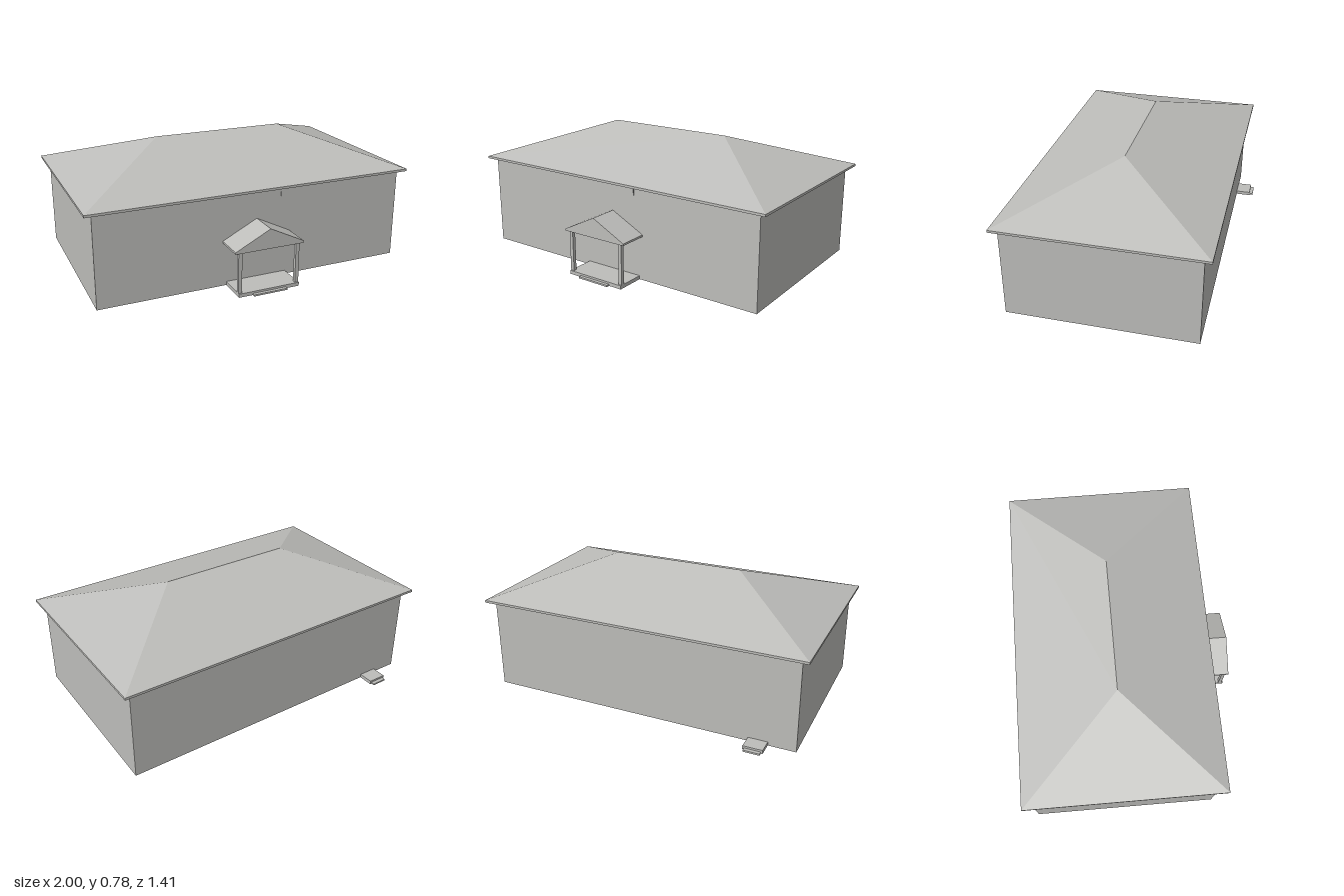
import * as THREE from 'three';

const plaster = new THREE.MeshStandardMaterial({ color: 0xbdbdba, side: THREE.DoubleSide });
plaster.name = 'plain grey';

// Flat-shaded surface from convex polygons, corners counter-clockwise from outside
function polygons(faces) {
  const pos = [];
  for (const f of faces) {
    for (let i = 1; i < f.length - 1; i++) pos.push(...f[0], ...f[i], ...f[i + 1]);
  }
  const g = new THREE.BufferGeometry();
  g.setAttribute('position', new THREE.Float32BufferAttribute(pos, 3));
  g.computeVertexNormals();
  return g;
}

function shapeFrom(points, hole) {
  const s = new THREE.Shape(points.map(p => new THREE.Vector2(...p)));
  if (hole) s.holes.push(new THREE.Path(hole.map(p => new THREE.Vector2(...p))));
  return s;
}

const rect = (x, a, b) => [[-x, a], [x, a], [x, b], [-x, b]];

export function createModel() {
  const house = new THREE.Group();
  house.name = 'house';
  const add = (name, geometry, parent = house) => {
    const m = new THREE.Mesh(geometry, plaster);
    m.name = name;
    parent.add(m);
    return m;
  };
  const block = (name, x0, x1, y0, y1, z0, z1, parent) =>
    add(name, new THREE.BoxGeometry(x1 - x0, y1 - y0, z1 - z0), parent)
      .position.set((x0 + x1) / 2, (y0 + y1) / 2, (z0 + z1) / 2);

  // Main dimensions
  const W = 0.955, F = 0.51, B = -0.593, H = 0.553;
  const EF = 0.547, EB = -0.637, E = 0.567;
  const R = 0.405, RY = 0.777, RZ = -0.044;
  const PW = 0.213, PY = 0.266, PE = 0.278, PA = 0.385, PF = 0.685;

  // Hollow walls, open below; the front opens into the porch gable
  const gable = [[-PW, PY], [PW, PY], [PW, PE], [0, PA], [-PW, PE]];
  add('frontWall', new THREE.ShapeGeometry(shapeFrom(rect(W, 0, H), gable))).position.z = F;
  add('sideAndBackWalls', polygons([
    [[W, 0, F], [W, 0, B], [W, H, B], [W, H, F]],
    [[W, 0, B], [-W, 0, B], [-W, H, B], [W, H, B]],
    [[-W, 0, B], [-W, 0, F], [-W, H, F], [-W, H, B]],
  ]));

  // Hipped roof with fascia and a soffit ring
  const c = [[-1, EF], [1, EF], [1, EB], [-1, EB]];
  const eave = c.map(([x, z]) => [x, E, z]);
  const low = c.map(([x, z]) => [x, H, z]);
  const left = [R, RY, RZ], right = [-R, RY, RZ];
  add('hippedRoof', polygons([
    [eave[0], eave[1], left, right],
    [eave[1], eave[2], left],
    [eave[2], eave[3], right, left],
    [eave[3], eave[0], right],
  ]));
  add('fascia', polygons(c.map((_, i) => {
    const j = (i + 1) % 4;
    return [low[i], low[j], eave[j], eave[i]];
  })));
  const soffit = new THREE.ShapeGeometry(shapeFrom(rect(1, EB, EF), rect(W, B, F)));
  soffit.rotateX(Math.PI / 2);
  add('soffit', soffit).position.y = H;

  // Small upright fin under the front eave
  block('eaveFin', 0.153, 0.155, 0.5, H, F, 0.515);

  // Porch
  const porch = new THREE.Group();
  porch.name = 'porch';
  house.add(porch);
  block('porchFloor', -0.19, 0.19, 0, 0.022, F, PF, porch);
  block('porchStep', -0.105, 0.105, 0, 0.01, PF, 0.705, porch);
  for (const s of [-1, 1]) {
    block('porchPost', s * 0.179 - 0.011, s * 0.179 + 0.011, 0.022, PY, 0.655, 0.676, porch);
  }
  // Porch roof: closed in front and below, open to the house
  const front = gable.map(([x, y]) => [x, y, PF]);
  const back = gable.map(([x, y]) => [x, y, F]);
  add('porchRoof', polygons([
    front,
    ...front.map((p, i) => {
      const j = (i + 1) % 5;
      return [p, back[i], back[j], front[j]];
    }),
  ]), porch);

  // Back door steps
  const steps = new THREE.Group();
  steps.name = 'backSteps';
  house.add(steps);
  block('upperStep', -0.795, -0.68, 0, 0.022, -0.683, B, steps);
  block('lowerStep', -0.785, -0.69, 0, 0.01, -0.705, -0.683, steps);

  return house;
}
